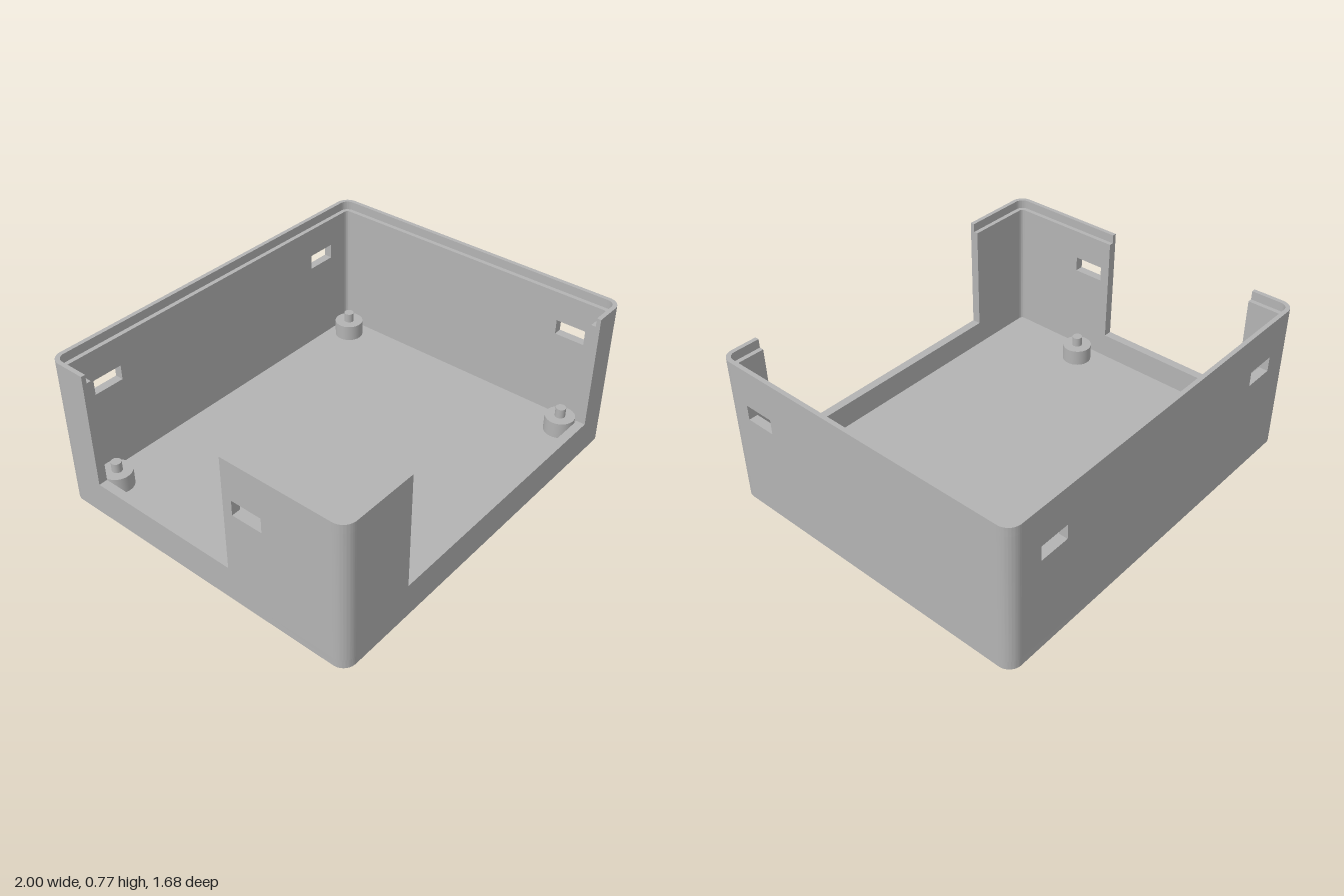
import * as THREE from 'three';
import { toCreasedNormals } from 'three/addons/utils/BufferGeometryUtils.js';

const HX = 1, HZ = 0.838;             // half width and half depth
const R = 0.065;                      // outer corner radius
const WALL = 0.045, LIP = 0.022;      // wall and lip thickness
const FLOOR = 0.045, SILL = 0.175, STEP = 0.73, TOP = 0.775;
const SLOT_LOW = 0.5, SLOT_HIGH = 0.577;

const polygon = (points, Type = THREE.Shape) =>
  new Type(points.map(([x, y]) => new THREE.Vector2(x, y)));
const rect = (a, b, low, high, Type) =>
  polygon([[a, low], [b, low], [b, high], [a, high]], Type);

function extrude(shape, depth) {
  const geo = new THREE.ExtrudeGeometry(shape, { depth, bevelEnabled: false, curveSegments: 12 });
  return toCreasedNormals(geo, 0.5);
}

export function createModel() {
  const model = new THREE.Group();
  model.name = 'enclosureBase';
  const grey = new THREE.MeshStandardMaterial({ color: 0xb3b3b3 });
  grey.name = 'grey plastic';

  const add = (name, geo) => {
    const mesh = new THREE.Mesh(geo, grey);
    mesh.name = name;
    model.add(mesh);
    return mesh;
  };

  // Floor with rounded corners
  const plan = new THREE.Shape();
  plan.absarc(HX - R, HZ - R, R, 0, Math.PI / 2);
  plan.absarc(R - HX, HZ - R, R, Math.PI / 2, Math.PI);
  plan.absarc(R - HX, R - HZ, R, Math.PI, Math.PI * 1.5);
  plan.absarc(HX - R, R - HZ, R, Math.PI * 1.5, Math.PI * 2);
  add('floor', extrude(plan, FLOOR).rotateX(-Math.PI / 2));

  // Straight walls: u runs to the right as seen from outside each wall
  const walls = [
    { name: 'front', turn: 0, notch: [-0.6, 0.805], slots: [] },
    { name: 'left', turn: 1, slots: [[-0.695, -0.537]] },
    { name: 'back', turn: 2, slots: [[-0.822, -0.662], [0.662, 0.822]] },
    { name: 'right', turn: 3, notch: [-0.62, 0.2], slots: [[0.25, 0.41]] },
  ];
  for (const { name, turn, notch, slots } of walls) {
    const side = turn % 2;
    const half = (side ? HZ : HX) - R;
    const out = side ? HX : HZ;
    const place = (shape, t) =>
      extrude(shape, t).translate(0, 0, out - t).rotateY(turn * Math.PI / 2);

    // Wall with its cut-out and slots
    const outline = [[-half, FLOOR], [half, FLOOR], [half, STEP]];
    if (notch) outline.push([notch[1], STEP], [notch[1], SILL], [notch[0], SILL], [notch[0], STEP]);
    outline.push([-half, STEP]);
    const shape = polygon(outline);
    for (const [a, b] of slots) shape.holes.push(rect(a, b, SLOT_LOW, SLOT_HIGH, THREE.Path));
    add(name + 'Wall', place(shape, WALL));

    // Thin outer lip above the inner step
    const spans = notch ? [[-half, notch[0]], [notch[1], half]] : [[-half, half]];
    for (const [a, b] of spans) add(name + 'Lip', place(rect(a, b, STEP, TOP), LIP));
  }

  // Rounded corners of the wall and of the lip
  const corner = (t, low, high) => {
    const shape = new THREE.Shape();
    shape.absarc(0, 0, R, 0, Math.PI / 2, false);
    shape.absarc(0, 0, R - t, Math.PI / 2, 0, true);
    return extrude(shape, high - low).rotateX(-Math.PI / 2).translate(0, low, 0);
  };
  [[1, -1], [-1, -1], [-1, 1], [1, 1]].forEach(([sx, sz], k) => {
    for (const [name, t, low, high] of [['cornerWall', WALL, FLOOR, STEP], ['cornerLip', LIP, STEP, TOP]]) {
      const mesh = add(name, corner(t, low, high));
      mesh.rotation.y = k * Math.PI / 2;
      mesh.position.set(sx * (HX - R), 0, sz * (HZ - R));
    }
  });

  // Standoffs with locating pins
  for (const [x, z] of [[-0.845, -0.685], [0.845, -0.685], [-0.845, 0.303], [0.845, 0.68]]) {
    add('standoff', new THREE.CylinderGeometry(0.075, 0.075, 0.085, 40)).position.set(x, FLOOR + 0.0425, z);
    add('standoffPin', new THREE.CylinderGeometry(0.026, 0.026, 0.05, 24)).position.set(x, FLOOR + 0.11, z);
  }
  return model;
}
